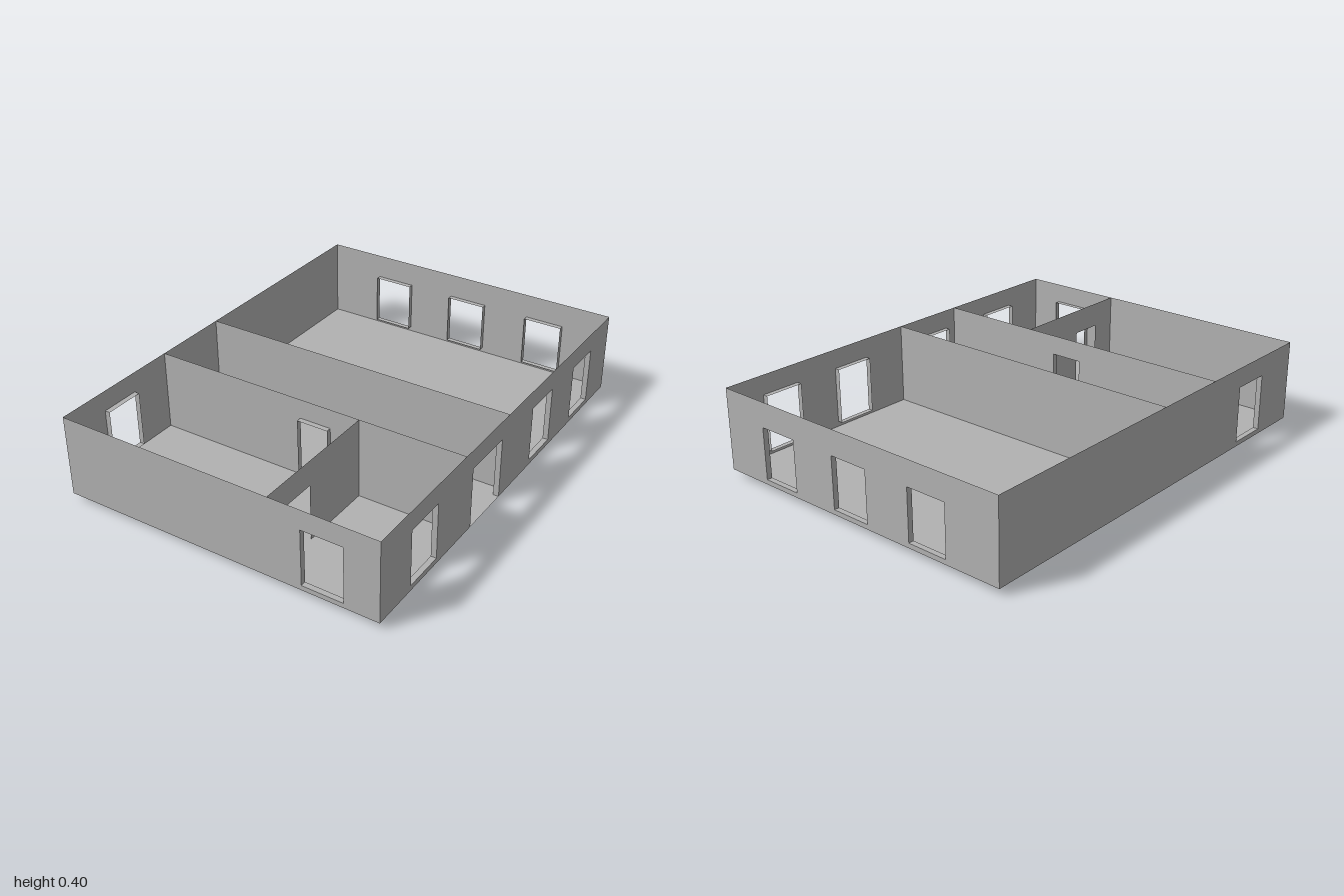
import * as THREE from 'three';

const BASE = 0.03, TOP = 0.402, REVEAL = 0.025;

export function createModel() {
  const model = new THREE.Group();
  model.name = 'roofless house';
  const plaster = new THREE.MeshStandardMaterial({ color: 0xb2b2b2, side: THREE.DoubleSide });
  plaster.name = 'grey plaster';

  function addMesh(parent, geometry, name) {
    const mesh = new THREE.Mesh(geometry, plaster);
    mesh.name = name;
    parent.add(mesh);
    return mesh;
  }

  // Flat wall from u0 to u1; openings are [start, end, bottom, top].
  // depth is the signed depth of the lining round each opening.
  function wall(name, u0, u1, openings, depth) {
    const group = new THREE.Group();
    group.name = name;
    const shape = new THREE.Shape();
    shape.moveTo(u0, BASE);
    for (const [a, b, low, high] of openings) {
      if (low > BASE) {
        const hole = new THREE.Path();
        hole.moveTo(a, low).lineTo(a, high).lineTo(b, high).lineTo(b, low).closePath();
        shape.holes.push(hole);
      } else {
        shape.lineTo(a, BASE).lineTo(a, high).lineTo(b, high).lineTo(b, BASE);
      }
    }
    shape.lineTo(u1, BASE).lineTo(u1, TOP).lineTo(u0, TOP).closePath();
    addMesh(group, new THREE.ShapeGeometry(shape), name + ' panel');

    if (depth) {
      for (const [a, b, low, high] of openings) {
        // Jambs
        for (const u of [a, b]) {
          const jamb = new THREE.PlaneGeometry(REVEAL, high - low);
          jamb.rotateY(u === a ? Math.PI / 2 : -Math.PI / 2);
          jamb.translate(u, (low + high) / 2, depth / 2);
          addMesh(group, jamb, 'opening jamb');
        }
        // Lintel, and a sill under windows only
        for (const y of low > BASE ? [low, high] : [high]) {
          const ledge = new THREE.PlaneGeometry(b - a, REVEAL);
          ledge.rotateX(y === low ? -Math.PI / 2 : Math.PI / 2);
          ledge.translate((a + b) / 2, y, depth / 2);
          addMesh(group, ledge, y === low ? 'sill' : 'lintel');
        }
      }
    }
    model.add(group);
    return group;
  }

  // Walls running across (along x) and lengthwise (along z)
  const across = (name, z, openings = [], depth = 0) => {
    wall(name, -0.75, 0.75, openings, depth).position.z = z;
  };
  const lengthwise = (name, x, z0, z1, openings = [], depth = 0) => {
    const group = wall(name, z0, z1, openings, depth);
    group.rotation.y = -Math.PI / 2;
    group.position.x = x;
  };

  // Floor slab surface
  const floor = new THREE.PlaneGeometry(1.5, 2);
  floor.rotateX(-Math.PI / 2);
  floor.translate(0, BASE, 0);
  addMesh(model, floor, 'floor');

  // Outer walls
  across('front wall', 1, [[0.405, 0.593, 0.052, 0.31]], -REVEAL);
  across('back wall', -1, [
    [-0.49, -0.3, 0.052, 0.287], [-0.075, 0.113, 0.052, 0.287], [0.338, 0.525, 0.052, 0.287],
  ], REVEAL);
  lengthwise('left wall', 0.75, -1, 1, [
    [-0.813, -0.625, 0.054, 0.312], [-0.406, -0.217, 0.054, 0.312],
    [0.065, 0.313, BASE, 0.312], [0.588, 0.782, 0.054, 0.312],
  ], REVEAL);
  lengthwise('right wall', -0.75, -1, 1, [[0.58, 0.765, 0.052, 0.31]], -REVEAL);

  // Inner partitions
  across('middle partition', 0.01);
  across('hall partition', 0.373, [[-0.028, 0.12, BASE, 0.312]], REVEAL);
  lengthwise('room partition', 0.26, 0.373, 1, [[0.725, 0.873, BASE, 0.288]]);

  // Threshold plate hanging below the room door
  const threshold = new THREE.PlaneGeometry(0.148, BASE);
  threshold.rotateY(Math.PI / 2);
  threshold.translate(0.26, BASE / 2, 0.799);
  addMesh(model, threshold, 'door threshold');

  return model;
}
